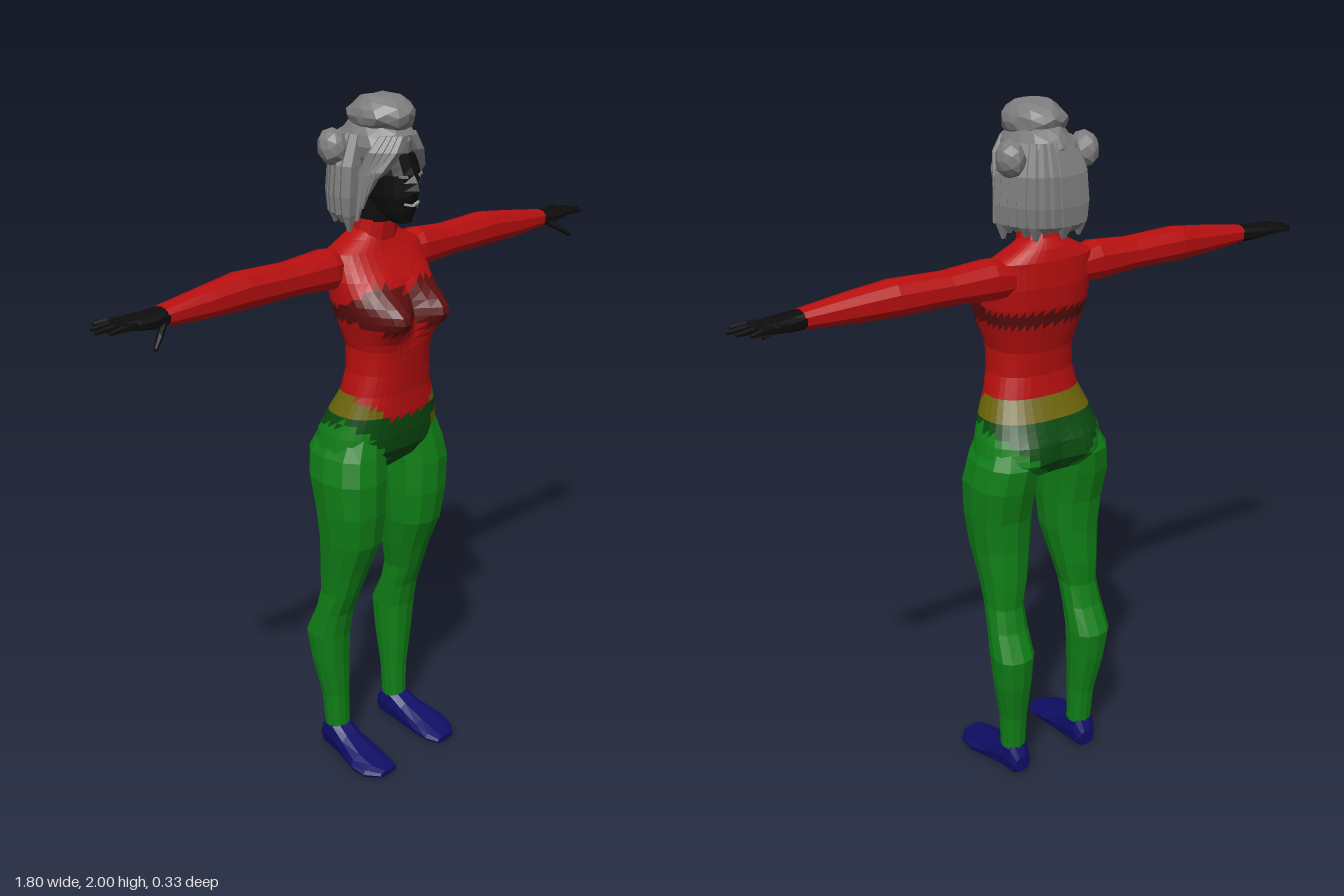
import * as THREE from 'three';

const mat = (name, color, side = THREE.FrontSide) => {
  const m = new THREE.MeshStandardMaterial({ color, flatShading: true, side });
  m.name = name;
  return m;
};

// Flat-sided skin through rows [y, centreX, centreZ, radiusX, radiusZ]
function loft(rows, { sides = 10, sub = 1, power = 0.85, deform, pick } = {}) {
  const sorted = [...rows].sort((a, b) => a[0] - b[0]);
  const fine = [];
  for (let i = 0; i < sorted.length - 1; i++)
    for (let s = 0; s < sub; s++)
      fine.push(sorted[i].map((v, k) => v + (sorted[i + 1][k] - v) * s / sub));
  fine.push(sorted[sorted.length - 1]);
  const soft = (v) => Math.sign(v) * Math.abs(v) ** power;
  const rings = fine.map(([y, cx, cz, rx, rz]) => Array.from({ length: sides }, (_, j) => {
    const a = j / sides * Math.PI * 2;
    const p = new THREE.Vector3(cx + rx * soft(Math.cos(a)), y, cz + rz * soft(Math.sin(a)));
    if (deform) deform(p);
    return p;
  }));
  const tris = [];
  for (let i = 0; i < rings.length - 1; i++)
    for (let j = 0; j < sides; j++) {
      const k = (j + 1) % sides, a = rings[i], b = rings[i + 1];
      tris.push([a[j], b[j], a[k]], [b[j], b[k], a[k]]);
    }
  const ends = [0, rings.length - 1].map((i) => new THREE.Vector3(fine[i][1], fine[i][0], fine[i][2]));
  for (let j = 0; j < sides; j++) {
    const k = (j + 1) % sides, top = rings[rings.length - 1];
    tris.push([ends[0], rings[0][j], rings[0][k]], [ends[1], top[k], top[j]]);
  }
  const g = new THREE.BufferGeometry();
  let ordered = tris;
  if (pick) {
    // one material group for each painted region
    const buckets = [];
    for (const t of tris) {
      const c = t[0].clone().add(t[1]).add(t[2]).divideScalar(3);
      (buckets[pick(c)] ??= []).push(t);
    }
    ordered = [];
    buckets.forEach((b, m) => { g.addGroup(ordered.length * 3, b.length * 3, m); ordered.push(...b); });
  }
  g.setFromPoints(ordered.flat());
  g.computeVertexNormals();
  return g;
}

function mirrored(geometry) {
  const g = geometry.clone(), p = g.attributes.position;
  for (let i = 0; i < p.count; i += 3) {
    const v = [0, 2, 1].map((k) => [p.getX(i + k), p.getY(i + k), p.getZ(i + k)]);
    v.forEach((q, k) => p.setXYZ(i + k, -q[0], q[1], q[2]));
  }
  g.computeVertexNormals();
  return g;
}

// Faceted lump with uneven surface
function lump(x, y, z, rx, ry, rz, detail = 2) {
  const g = new THREE.IcosahedronGeometry(1, detail), p = g.attributes.position;
  g.deleteAttribute('uv');
  for (let i = 0; i < p.count; i++) {
    const [a, b, c] = [p.getX(i), p.getY(i), p.getZ(i)];
    const k = 1 + 0.07 * Math.sin(9 * a + 5 * b) * Math.cos(7 * c - 4 * b);
    p.setXYZ(i, x + a * rx * k, y + b * ry * k, z + c * rz * k);
  }
  g.computeVertexNormals();
  return g;
}

export function createModel() {
  const root = new THREE.Group();
  root.name = 'figure';
  const red = mat('red', 0xb80f0f), darkRed = mat('dark red', 0x5c0e0e);
  const green = mat('green', 0x107f17), darkGreen = mat('dark green', 0x0a4a10);
  const olive = mat('olive', 0x6c6408), navy = mat('navy', 0x0e0e66);
  const black = mat('black', 0x0d0d0d), grey = mat('grey', 0x7d7d7d);
  const paleGrey = mat('pale grey', 0xa8a8a8);

  const add = (name, g, m) => {
    const mesh = new THREE.Mesh(g, m);
    mesh.name = name;
    root.add(mesh);
  };
  const pair = (name, g, m) => {
    add('left ' + name, g, m);
    add('right ' + name, mirrored(g), m);
  };
  const bump = (p, x, y, sx, sy) =>
    Math.exp(-(((Math.abs(p.x) - x) / sx) ** 2) - (((p.y - y) / sy) ** 2));

  // Torso: rows given as height, half width, front z, back z
  const torsoRows = [
    [1.645, 0.05, 0.005, -0.085], [1.62, 0.095, 0.015, -0.1], [1.59, 0.155, 0.03, -0.11],
    [1.52, 0.16, 0.075, -0.115], [1.46, 0.157, 0.1, -0.11], [1.4, 0.142, 0.115, -0.098],
    [1.33, 0.122, 0.118, -0.08], [1.26, 0.125, 0.11, -0.074], [1.2, 0.14, 0.104, -0.083],
    [1.14, 0.165, 0.105, -0.115], [1.08, 0.185, 0.1, -0.138], [1.03, 0.195, 0.092, -0.14],
    [0.99, 0.15, 0.07, -0.12], [0.95, 0.03, 0.02, -0.05],
  ].map(([y, w, f, b]) => [y, 0, (f + b) / 2, w, (f - b) / 2]);
  const torsoPaint = (c) => {
    const x = Math.abs(c.x), front = c.z > 0;
    const cup = front && ((x - 0.078) / 0.08) ** 2 + ((c.y - 1.447) / 0.062) ** 2 < 1;
    if (cup || (c.y > 1.41 && c.y < 1.45)) return 1;
    if (c.y > (front ? 1.13 + Math.max(0, x - 0.07) * 0.9 : 1.2)) return 0;
    if (c.y > 1.14) return 2;
    if (front && Math.hypot(c.x - 0.13, c.y - 1.085) < 0.025) return 2;
    return x < (front ? (c.y - 0.94) * 0.9 : (c.y - 0.96) * 1.15) ? 4 : 3;
  };
  add('torso', loft(torsoRows, {
    sides: 36, sub: 3, power: 0.82, pick: torsoPaint,
    deform: (p) => {
      if (p.z > 0.02) p.z += 0.075 * bump(p, 0.08, 1.43, 0.058, 0.055);
      if (p.z < -0.05) p.z -= 0.022 * bump(p, 0.095, 1.03, 0.07, 0.07);
    },
  }), [red, darkRed, olive, green, darkGreen]);

  // Legs
  pair('leg', loft([
    [1.08, 0.105, -0.02, 0.068, 0.1], [1.02, 0.115, -0.027, 0.09, 0.118], [0.95, 0.125, -0.017, 0.094, 0.118],
    [0.85, 0.124, -0.006, 0.09, 0.104], [0.75, 0.122, -0.01, 0.081, 0.093], [0.65, 0.126, -0.033, 0.066, 0.073],
    [0.57, 0.132, -0.045, 0.054, 0.058], [0.5, 0.135, -0.067, 0.058, 0.052], [0.42, 0.137, -0.094, 0.062, 0.064],
    [0.32, 0.133, -0.09, 0.054, 0.055], [0.2, 0.125, -0.08, 0.04, 0.04], [0.09, 0.123, -0.075, 0.036, 0.036],
  ], { sides: 12 }), green);

  // Feet: rows run from heel to toe
  pair('foot', loft([
    [-0.125, 0.122, -0.04, 0.025, 0.025], [-0.105, 0.123, -0.055, 0.037, 0.052], [-0.06, 0.124, -0.056, 0.042, 0.054],
    [-0.01, 0.128, -0.04, 0.046, 0.039], [0.06, 0.136, -0.027, 0.06, 0.026], [0.11, 0.135, -0.02, 0.058, 0.018],
    [0.15, 0.125, -0.018, 0.034, 0.01],
  ], { power: 0.75 }).rotateX(Math.PI / 2), navy);

  // Arms and hands: rows run outwards from the shoulder
  const along = (rows, opts) =>
    loft(rows.map(([x, y, z, ry, rz]) => [x, -y, z, ry, rz]), opts).rotateZ(-Math.PI / 2).rotateX(0);
  // rotateZ(-90) sends (x, y) to (y, -x), so heights are entered negated
  pair('arm', along([
    [0.1, 1.545, -0.05, 0.045, 0.045], [0.17, 1.55, -0.045, 0.057, 0.054], [0.3, 1.55, -0.045, 0.046, 0.05],
    [0.46, 1.552, -0.047, 0.05, 0.05], [0.57, 1.547, -0.042, 0.041, 0.043], [0.71, 1.542, -0.04, 0.026, 0.033],
  ]), red);
  pair('hand', along([
    [0.7, 1.542, -0.04, 0.025, 0.032], [0.745, 1.54, -0.04, 0.021, 0.042],
    [0.79, 1.542, -0.045, 0.016, 0.046], [0.82, 1.543, -0.05, 0.012, 0.04],
  ]), black);
  [[0.865, -0.08, -0.096], [0.89, -0.06, -0.068], [0.9, -0.038, -0.038], [0.88, -0.015, -0.008]].forEach(([tip, z0, z1], i) =>
    pair('finger ' + (i + 1), along([
      [0.8, 1.543, z0, 0.01, 0.011], [(0.8 + tip) / 2, 1.545, (z0 + z1) / 2, 0.009, 0.01], [tip, 1.542, z1, 0.005, 0.005],
    ], { sides: 6 }), black));
  pair('thumb', along([
    [0.725, 1.53, -0.015, 0.012, 0.014], [0.755, 1.51, 0.01, 0.011, 0.012], [0.782, 1.488, 0.027, 0.006, 0.007],
  ], { sides: 6 }), black);

  // Neck and head
  add('neck', loft([[1.6, 0, -0.04, 0.07, 0.06], [1.67, 0, -0.025, 0.055, 0.05]]), red);
  add('throat', loft([[1.665, 0, -0.022, 0.053, 0.05], [1.75, 0, -0.01, 0.05, 0.05]]), black);
  add('head', loft([
    [1.67, 0, 0.07, 0.025, 0.025], [1.7, 0, 0.05, 0.045, 0.055], [1.74, 0, 0.03, 0.06, 0.08],
    [1.8, 0, 0.018, 0.068, 0.094], [1.86, 0, 0.003, 0.072, 0.085], [1.92, 0, 0, 0.055, 0.07],
  ], { sides: 16, sub: 3, deform: (p) => { if (p.z > 0.05) p.z += 0.026 * bump(p, 0, 1.765, 0.016, 0.025); } }), black);
  const plate = (x, y, z, w, h, turn, tilt) =>
    new THREE.BoxGeometry(w, h, 0.008).toNonIndexed().rotateZ(tilt).rotateY(turn).translate(x, y, z);
  pair('mouth corner', plate(0.013, 1.722, 0.109, 0.026, 0.006, 0.2, 0.25), paleGrey);
  pair('eye', plate(0.03, 1.797, 0.106, 0.024, 0.006, 0.4, 0.1), grey);

  // Hair: cap, crown and side buns
  add('hair cap', lump(0, 1.87, -0.02, 0.094, 0.085, 0.115), grey);
  add('crown bun', lump(0, 1.943, -0.003, 0.083, 0.057, 0.098), grey);
  pair('side bun', lump(0.117, 1.862, -0.07, 0.038, 0.05, 0.046, 1), grey);

  // Hanging locks around the sides and back
  for (let i = 0; i <= 7; i++) {
    const a = (-0.05 + i * 0.23) * 1.0, s = Math.sin(a), c = Math.cos(a);
    const end = 1.645 + 0.028 * Math.abs(Math.sin(i * 2.3));
    const at = (y, r, w) => [y, c * r, -0.025 - s * r * 1.1, w, w * 0.8];
    pair('hanging lock ' + (i + 1), loft([
      at(1.9, 0.075, 0.024), at(1.82, 0.1, 0.03), at(1.74, 0.107, 0.029),
      at(1.69, 0.108, 0.023), at(end, 0.106, 0.006),
    ], { sides: 6 }), grey);
  }
  // Fringe and face-framing locks
  for (let i = 0; i < 4; i++) {
    const t = i / 3;
    pair('fringe lock ' + (i + 1), loft([
      [1.9, 0.015 + 0.03 * t, 0.085 - 0.03 * t, 0.02, 0.016], [1.86, 0.04 + 0.035 * t, 0.085 - 0.04 * t, 0.021, 0.018],
      [1.81 - 0.01 * t, 0.07 + 0.02 * t, 0.062 - 0.04 * t, 0.02, 0.018],
      [1.78 - 0.1 * t, 0.086 + 0.025 * t, 0.045 - 0.03 * t, 0.005, 0.005],
    ], { sides: 6 }), grey);
  }
  return root;
}
